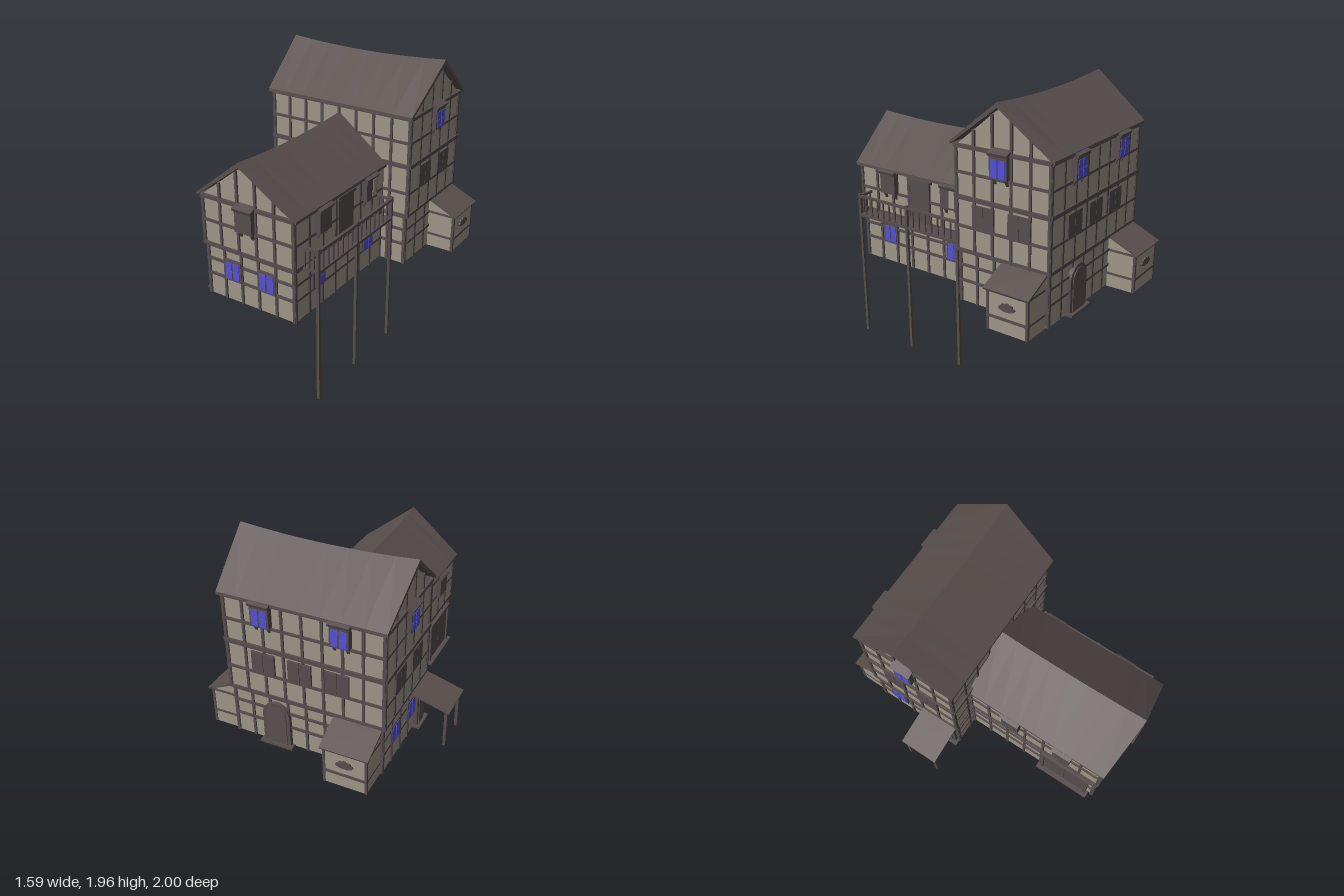
import * as THREE from 'three';

const mat = (name, color, side = THREE.FrontSide) => {
  const m = new THREE.MeshStandardMaterial({ color, side });
  m.name = name;
  return m;
};

export function createModel() {
  const plaster = mat('plaster', 0x9d9688, THREE.DoubleSide);
  const timber = mat('timber', 0x564d4d);
  const shingle = mat('shingle', 0x5a504e);
  const glass = mat('blue glass', 0x5450d4);
  const root = new THREE.Group();
  root.name = 'timberHouse';

  const FRONT = 0, LEFT = Math.PI / 2, BACK = Math.PI, RIGHT = -Math.PI / 2;

  // A group whose local +z points out of a wall
  const place = (name, x, z, rot, y = 0) => {
    const g = new THREE.Group();
    g.name = name;
    g.position.set(x, y, z);
    g.rotation.y = rot;
    root.add(g);
    return g;
  };
  const add = (g, name, geo, m) => {
    const mesh = new THREE.Mesh(geo, m);
    mesh.name = name;
    g.add(mesh);
    return mesh;
  };
  const box = (g, name, m, w, h, d, x, y, z) => {
    const b = add(g, name, new THREE.BoxGeometry(w, h, d), m);
    b.position.set(x, y, z);
    return b;
  };
  const shapeOf = pts => new THREE.Shape(pts.map(p => new THREE.Vector2(...p)));

  // Half-timbered wall: panel, posts, rails and optional gable
  function wall(name, x, z, rot, w, y0, y1, bays, rails, apex = 0) {
    const g = place(name, x, z, rot), half = w / 2;
    box(g, 'panel', plaster, w, y1 - y0, 0.006, 0, (y0 + y1) / 2, 0);
    if (apex) add(g, 'gablePanel', new THREE.ShapeGeometry(shapeOf([[-half, y1], [half, y1], [0, apex]])), plaster);
    for (let i = 0; i <= bays; i++) {
      const px = -half + (w * i) / bays;
      const top = apex ? y1 + (apex - y1) * (1 - Math.abs(px) / half) : y1;
      box(g, 'post', timber, 0.018, top - y0, 0.026, px, (top + y0) / 2, 0);
    }
    for (const [y, h = 0.018] of rails) box(g, 'rail', timber, w + 0.02, h, 0.028 + (h > 0.02 ? 0.012 : 0), 0, y, 0);
    return g;
  }
  // Four walls round a rectangle; skip names walls to leave out
  function storey(name, [x0, x1, z0, z1], y0, y1, bx, bz, rails, gables = {}, skipBack = false) {
    const cx = (x0 + x1) / 2, cz = (z0 + z1) / 2, w = x1 - x0, d = z1 - z0;
    wall(name + 'Front', cx, z1, FRONT, w, y0, y1, bx, rails, gables.front);
    if (!skipBack) wall(name + 'Back', cx, z0, BACK, w, y0, y1, bx, rails);
    wall(name + 'Left', x1, cz, LEFT, d, y0, y1, bz, rails, gables.sides);
    wall(name + 'Right', x0, cz, RIGHT, d, y0, y1, bz, rails, gables.sides);
  }
  const slab = (name, [x0, x1, z0, z1], y) =>
    box(root, name, plaster, x1 - x0, 0.015, z1 - z0, (x0 + x1) / 2, y, (z0 + z1) / 2);

  const low = [[0.72], [0.83], [0.935, 0.026]];
  const block1 = [-0.497, 0.567, -0.772, -0.1], block2 = [-0.515, 0.585, -0.785, -0.09];
  storey('blockGround', block1, 0.565, 0.93, 8, 5, low);
  storey('blockMiddle', block2, 0.93, 1.3, 8, 5, [[0.945], [1.11], [1.305, 0.028]]);
  storey('blockTop', block2, 1.3, 1.64, 8, 5, [[1.47], [1.64, 0.024]], { sides: 1.93 });
  slab('blockFloor', block2, 0.935);
  const wing1 = [-0.305, 0.372, -0.09, 0.922], wing2 = [-0.315, 0.382, -0.09, 0.935];
  storey('wingGround', wing1, 0.565, 0.93, 5, 7, low, {}, true);
  storey('wingUpper', wing2, 0.93, 1.28, 5, 7, [[0.945], [1.11], [1.275, 0.024]], { front: 1.555 }, true);
  slab('wingFloor', wing2, 0.935);

  // Sagging ridge roof, lofted along local x
  function roof(name, x, z, rot, half, wide, y0, y1, sag, flareA, flareB) {
    const n = 8, th = 0.034, pos = [], ring = [];
    for (let i = 0; i <= n; i++) {
      const t = (2 * i) / n - 1, e = t * half, yr = y1 - sag * (1 - t * t);
      const r = e + (t < 0 ? t * flareA : t * flareB);
      ring.push([[e, y0, -wide], [r, yr, 0], [e, y0, wide], [e, y0 - th * 0.6, wide], [r, yr - th, 0], [e, y0 - th * 0.6, -wide]]);
    }
    const quad = (a, b, c, d) => pos.push(...a, ...b, ...c, ...a, ...c, ...d);
    for (let i = 0; i < n; i++)
      for (let j = 0; j < 6; j++) quad(ring[i][j], ring[i][(j + 1) % 6], ring[i + 1][(j + 1) % 6], ring[i + 1][j]);
    const A = ring[0], B = ring[n];
    quad(B[0], B[1], B[4], B[5]); quad(B[1], B[2], B[3], B[4]);
    quad(A[5], A[4], A[1], A[0]); quad(A[4], A[3], A[2], A[1]);
    const geo = new THREE.BufferGeometry();
    geo.setAttribute('position', new THREE.Float32BufferAttribute(pos, 3));
    geo.computeVertexNormals();
    add(place(name, x, z, rot), name + 'Shingles', geo, shingle);
  }
  roof('blockRoof', 0.035, -0.437, 0, 0.575, 0.382, 1.662, 1.962, 0.028, 0.032, 0.032);
  roof('wingRoof', 0.035, 0.435, RIGHT, 0.525, 0.382, 1.29, 1.588, 0.025, 0, 0.04);

  // Two-light casement
  function lights(g, w, h, y, z) {
    for (const s of [-1, 1]) for (const v of [-1, 1])
      box(g, 'pane', glass, w * 0.38, h * 0.45, 0.006, s * w * 0.23, y + v * h * 0.235, z);
  }
  function casement(x, z, rot) {
    const g = place('window', x, z, rot, 0.79);
    box(g, 'frame', timber, 0.135, 0.145, 0.03, 0, 0, 0.005);
    lights(g, 0.125, 0.13, 0, 0.021);
  }
  // Projecting window with hood and brackets
  function bay(x, z, rot, y, glazed, open = false) {
    const g = place('bayWindow', x, z, rot, y);
    box(g, 'case', timber, 0.13, 0.16, 0.05, 0, 0, 0.02);
    const hood = box(g, 'hood', timber, 0.145, 0.022, 0.07, 0, 0.085, 0.024);
    hood.rotation.x = 0.35;
    for (const s of [-1, 1]) {
      const b = box(g, 'bracket', timber, 0.015, 0.055, 0.018, s * 0.045, -0.095, 0.016);
      b.rotation.x = 0.5;
    }
    if (glazed) lights(g, 0.125, 0.125, -0.012, 0.046);
    if (open) box(g, 'openPanel', plaster, 0.045, 0.12, 0.006, 0.03, -0.003, 0.046);
  }
  function shutters(x, z, rot) {
    const g = place('shutters', x, z, rot, 1.19);
    for (const s of [-1, 1]) box(g, 'leaf', timber, 0.081, 0.16, 0.03, s * 0.042, 0, 0.003);
  }

  for (const x of [-0.1, 0.17]) casement(x, 0.922, FRONT);
  for (const z of [0.685, 0.1]) casement(0.372, z, LEFT);
  for (const z of [-0.6, -0.33]) casement(-0.497, z, RIGHT);
  bay(0.033, 0.935, FRONT, 1.19, false);
  bay(0.382, 0.66, LEFT, 1.19, false);
  bay(0.382, 0.115, LEFT, 1.19, false, true);
  for (const z of [0.245, 0.65]) bay(-0.315, z, RIGHT, 1.19, false);
  bay(0.585, -0.435, LEFT, 1.565, true);
  bay(-0.515, -0.435, RIGHT, 1.565, true);
  for (const x of [0.305, -0.235]) bay(x, -0.785, BACK, 1.565, true);
  for (const x of [0.32, 0.06, -0.2]) shutters(x, -0.785, BACK);
  for (const z of [-0.3, -0.57]) { shutters(0.585, z, LEFT); shutters(-0.515, z, RIGHT); }

  // Arched doors
  function archDoor(name, x, z, rot, w, h) {
    const g = place(name, x, z, rot, 0.565);
    const arch = (r, d) => {
      const s = new THREE.Shape();
      s.moveTo(-r, 0); s.lineTo(r, 0); s.lineTo(r, h - w / 2);
      s.absarc(0, h - w / 2, r, 0, Math.PI); s.lineTo(-r, 0);
      return new THREE.ExtrudeGeometry(s, { depth: d, bevelEnabled: false, curveSegments: 8 });
    };
    add(g, 'surround', arch(w / 2, 0.03), timber);
    add(g, 'leaf', arch(w / 2 - 0.025, 0.036), shingle);
    box(g, 'step', timber, w + 0.04, 0.015, 0.055, 0, 0.005, 0.03);
  }
  archDoor('backDoor', 0.25, -0.772, BACK, 0.2, 0.33);
  archDoor('porchDoor', -0.497, -0.18, RIGHT, 0.13, 0.3);

  // Wide double door on the wing
  const gate = place('doubleDoor', -0.305, 0.69, RIGHT, 0.565);
  for (const s of [-1, 1]) {
    box(gate, 'leaf', timber, 0.165, 0.3, 0.03, s * 0.084, 0.15, 0.005);
    box(gate, 'jamb', timber, 0.022, 0.32, 0.045, s * 0.178, 0.16, 0.01);
  }
  box(gate, 'lintel', timber, 0.39, 0.025, 0.05, 0, 0.318, 0.01);
  box(gate, 'step', timber, 0.42, 0.015, 0.06, 0, 0.005, 0.025);

  // Sloping slab from a wall
  function lean(g, w, d, y0, y1) {
    const r = box(g, 'leanRoof', shingle, w, 0.014, Math.hypot(d, y1 - y0), 0, (y0 + y1) / 2, d / 2);
    r.rotation.x = Math.atan2(y0 - y1, d);
  }
  // Small annexes with a fan ornament
  function annex(name, x, z, rot, depth) {
    const g = place(name, x, z, rot), w = 0.3;
    const geo = new THREE.ExtrudeGeometry(shapeOf([[0, 0.555], [depth, 0.555], [depth, 0.832], [0, 0.925]]), { depth: w, bevelEnabled: false });
    geo.rotateY(-Math.PI / 2).translate(w / 2, 0, 0);
    add(g, 'walls', geo, plaster);
    lean(g, 0.335, depth + 0.022, 0.938, 0.835);
    for (const s of [-1, 1]) {
      box(g, 'cornerPost', timber, 0.018, 0.278, 0.018, s * 0.145, 0.694, depth - 0.004);
      box(g, 'sideRail', timber, 0.012, 0.016, depth, s * 0.148, 0.655, depth / 2);
      box(g, 'sideTopRail', timber, 0.012, 0.016, depth, s * 0.148, 0.828, depth / 2);
    }
    for (const y of [0.655, 0.828]) box(g, 'frontRail', timber, w, 0.018, 0.014, 0, y, depth);
    const pts = [[-0.025, -0.01], [0.025, -0.01]];
    for (let i = 0; i <= 30; i++) {
      const a = (Math.PI * i) / 30, r = 0.052 + 0.011 * Math.abs(Math.sin(a * 5));
      pts.push([r * Math.cos(a), r * 0.75 * Math.sin(a)]);
    }
    const fan = add(g, 'fanOrnament', new THREE.ExtrudeGeometry(shapeOf(pts), { depth: 0.012, bevelEnabled: false }), timber);
    fan.position.set(0, 0.725, depth);
  }
  annex('leftAnnex', 0.567, -0.605, LEFT, 0.203);
  annex('backAnnex', -0.337, -0.772, BACK, 0.208);

  // Porch on two poles
  const porch = place('porch', -0.515, -0.23, RIGHT);
  lean(porch, 0.28, 0.277, 0.933, 0.852);
  for (const s of [-1, 1]) box(porch, 'pole', timber, 0.02, 0.285, 0.02, s * 0.115, 0.71, 0.25);

  // Balcony: deck, long posts, rails and balusters
  const bal = place('balcony', 0, 0, 0);
  box(bal, 'deck', timber, 0.13, 0.018, 0.885, 0.447, 0.935, 0.423);
  for (const z of [0.86, 0.423, -0.015]) box(bal, 'longPost', timber, 0.02, 1.095, 0.02, 0.502, 0.5475, z);
  box(bal, 'handrail', timber, 0.02, 0.016, 0.89, 0.502, 1.077, 0.423);
  for (let i = 1; i < 16; i++) box(bal, 'baluster', timber, 0.009, 0.14, 0.009, 0.502, 1.005, -0.015 + (0.875 * i) / 16);
  for (const z of [0.86, -0.015]) {
    box(bal, 'endRail', timber, 0.12, 0.016, 0.018, 0.443, 1.077, z);
    for (const x of [0.405, 0.438, 0.47]) box(bal, 'endBaluster', timber, 0.009, 0.14, 0.009, x, 1.005, z);
  }
  const door = place('balconyDoor', 0.382, 0.39, LEFT);
  box(door, 'leaf', timber, 0.175, 0.31, 0.032, 0, 1.09, 0.004);
  box(door, 'lintel', timber, 0.205, 0.02, 0.045, 0, 1.25, 0.008);

  return root;
}
